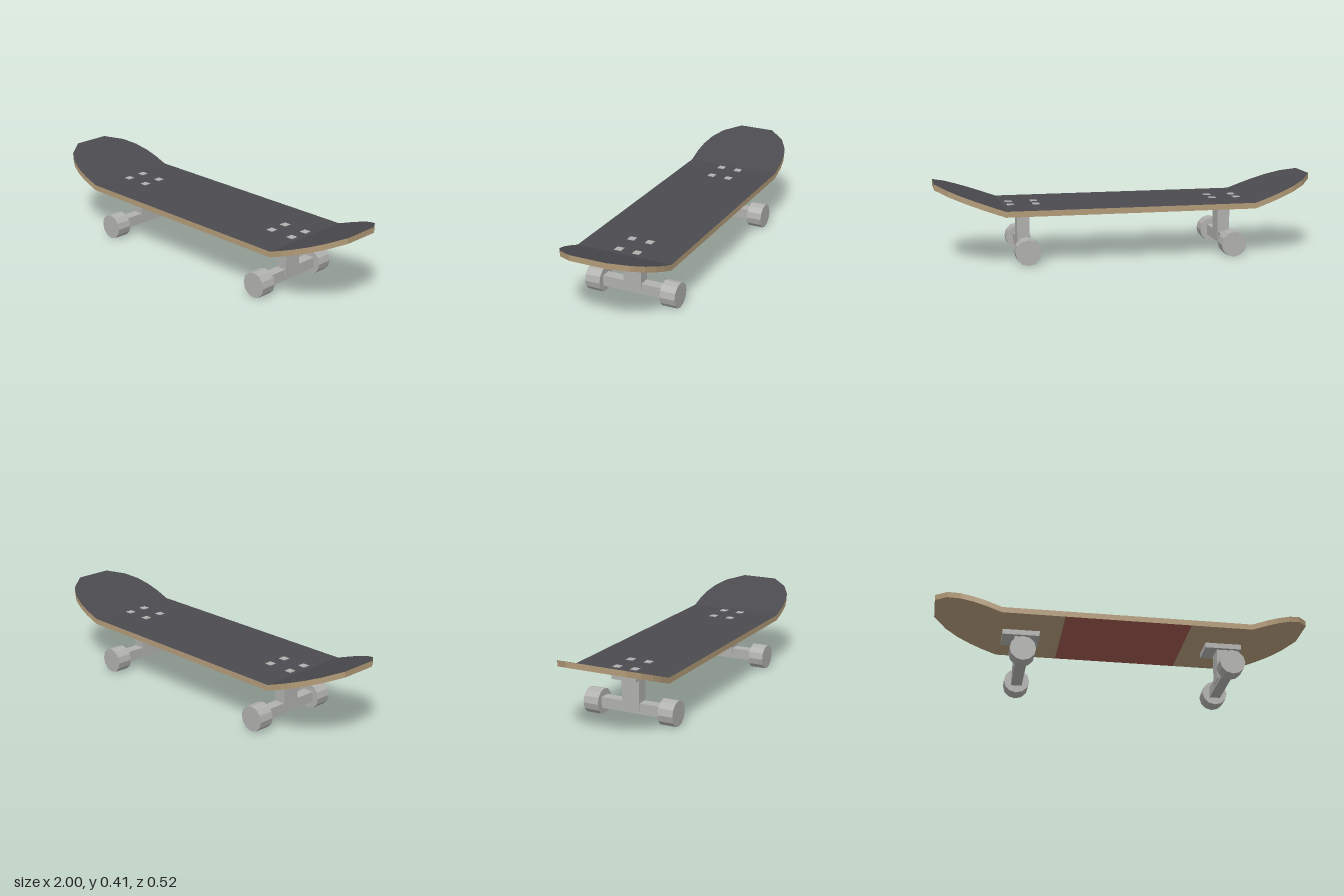
import * as THREE from 'three';

const mat = (name, color) => Object.assign(new THREE.MeshStandardMaterial({ color }), { name });

export function createModel() {
  const grip = mat('grip', 0x4b4a4f);
  const wood = mat('wood', 0xb39b78);
  const red = mat('red panel', 0xa0594f);
  const metal = mat('metal', 0xb0b0ae);
  const model = new THREE.Group();
  model.name = 'skateboard';

  // Deck stations from one end to the other: x, half width
  const half = [[1, 0.098], [0.936, 0.187], [0.87, 0.23], [0.8, 0.252], [0.735, 0.26], [0.655, 0.26], [0.33, 0.26]];
  const stations = [...half.map(([x, w]) => [-x, w]), ...[...half].reverse()];
  const thick = 0.03;
  const bottomY = x => 0.255 + Math.max(0, Math.abs(x) - 0.655) * 0.362;

  // Four corners of the deck's cross-section at one station
  const section = ([x, w]) => {
    const y = bottomY(x);
    return {
      tl: [x, y + thick, w], tr: [x, y + thick, -w],
      bl: [x, y, w], br: [x, y, -w],
    };
  };

  const faces = { gripTape: [], deckWood: [], bottomPanel: [] };
  const quad = (list, a, b, c, d) => list.push(...a, ...b, ...c, ...a, ...c, ...d);
  const rings = stations.map(section);
  for (let i = 0; i < rings.length - 1; i++) {
    const p = rings[i], q = rings[i + 1];
    const middle = i === half.length - 1;
    quad(faces.gripTape, p.tl, q.tl, q.tr, p.tr);
    quad(middle ? faces.bottomPanel : faces.deckWood, p.br, q.br, q.bl, p.bl);
    quad(faces.deckWood, p.bl, q.bl, q.tl, p.tl);
    quad(faces.deckWood, q.br, p.br, p.tr, q.tr);
  }
  // End caps of the nose and tail
  const first = rings[0], last = rings[rings.length - 1];
  quad(faces.deckWood, first.br, first.bl, first.tl, first.tr);
  quad(faces.deckWood, last.bl, last.br, last.tr, last.tl);

  const deck = new THREE.Group();
  deck.name = 'deck';
  const deckMaterials = { gripTape: grip, deckWood: wood, bottomPanel: red };
  for (const [name, points] of Object.entries(faces)) {
    const geometry = new THREE.BufferGeometry();
    geometry.setAttribute('position', new THREE.Float32BufferAttribute(points, 3));
    geometry.computeVertexNormals();
    const mesh = new THREE.Mesh(geometry, deckMaterials[name]);
    mesh.name = name;
    deck.add(mesh);
  }
  model.add(deck);

  const add = (group, name, geometry, x, y, z) => {
    const mesh = new THREE.Mesh(geometry, metal);
    mesh.name = name;
    mesh.position.set(x, y, z);
    group.add(mesh);
  };

  // Twelve-sided wheel lying along z, with flat facets
  const wheel = new THREE.CylinderGeometry(0.067, 0.067, 0.083, 12).rotateX(Math.PI / 2).toNonIndexed();
  wheel.computeVertexNormals();

  // Trucks with wheels and deck bolts, one at each end
  for (const side of [-1, 1]) {
    const truck = new THREE.Group();
    truck.name = side > 0 ? 'leftTruck' : 'rightTruck';
    truck.position.x = side * 0.5425;
    add(truck, 'baseplate', new THREE.BoxGeometry(0.195, 0.028, 0.138), 0, 0.241, 0);
    add(truck, 'post', new THREE.BoxGeometry(0.065, 0.168, 0.098), 0, 0.143, 0);
    add(truck, 'axle', new THREE.BoxGeometry(0.057, 0.057, 0.34), 0, 0.0685, 0);
    for (const z of [-1, 1]) {
      add(truck, 'wheel', wheel, 0, 0.067, z * 0.2105);
      for (const x of [-1, 1]) {
        add(truck, 'bolt', new THREE.BoxGeometry(0.037, 0.006, 0.037), x * 0.067, 0.285, z * 0.05);
      }
    }
    model.add(truck);
  }
  return model;
}
